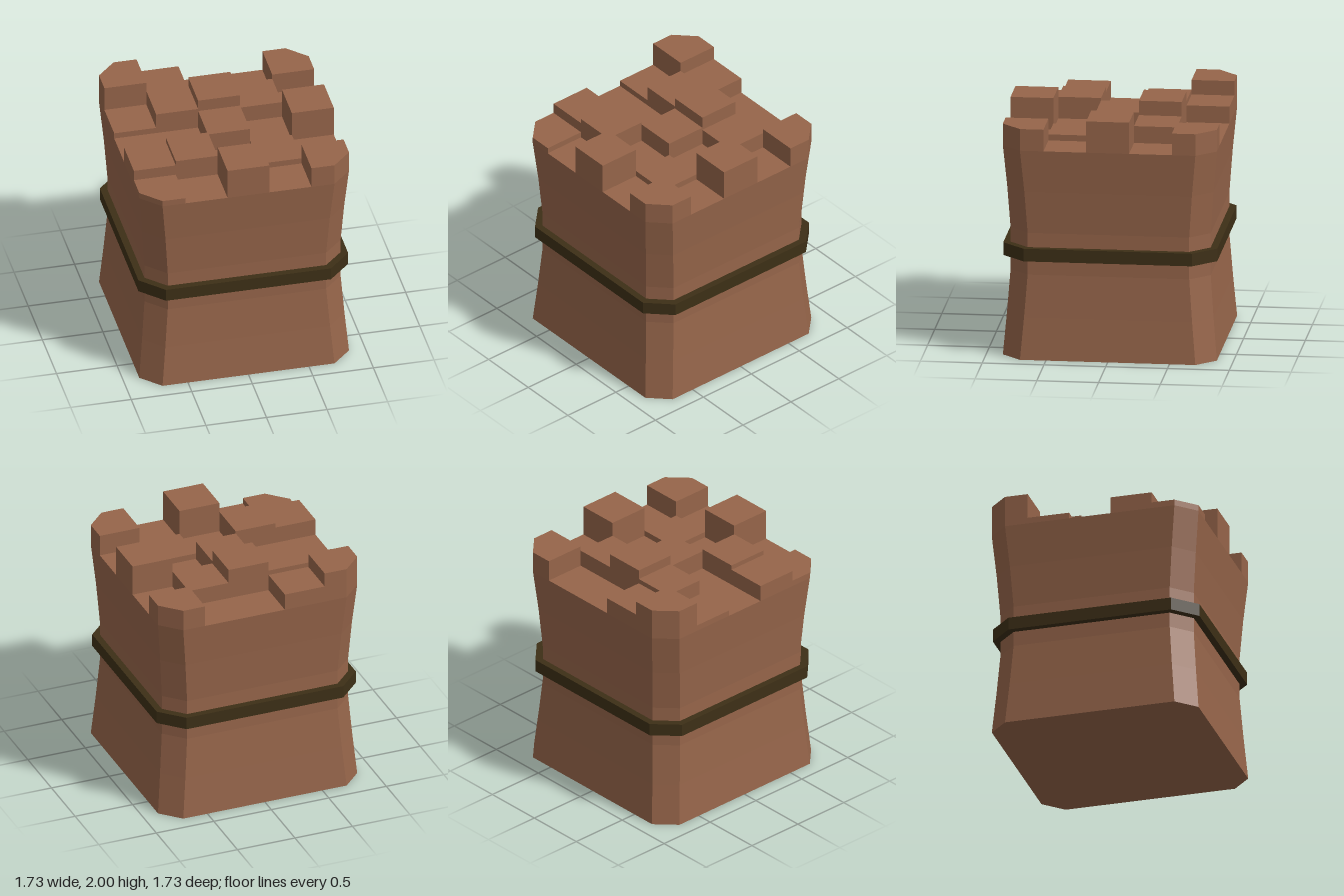
import * as THREE from 'three';

const HALF = 0.866;      // half width of the tower at foot and top
const CUT = 0.156;       // size of the cut corners
const BODY_TOP = 1.74;

const clay = new THREE.MeshStandardMaterial({ color: 0x96654a, flatShading: true });
const darkWood = new THREE.MeshStandardMaterial({ color: 0x3d2f16, flatShading: true });

// Outline of a square with cut corners
function octagon(half, cut) {
  const a = half, b = half - cut;
  return [[b, -a], [a, -b], [a, b], [b, a], [-b, a], [-a, b], [-a, -b], [-b, -a]]
    .map(([x, y]) => new THREE.Vector2(x, y));
}

// Extrude a plan outline upwards from y0 to y1
function rise(shape, y0, y1, steps = 1) {
  const g = new THREE.ExtrudeGeometry(shape, { depth: y1 - y0, steps, bevelEnabled: false });
  g.rotateX(-Math.PI / 2);
  g.translate(0, y0, 0);
  return g;
}

function addMesh(parent, name, geometry, material) {
  const mesh = new THREE.Mesh(geometry, material);
  mesh.name = name;
  parent.add(mesh);
  return mesh;
}

// Waisted tower body: each level of the prism is pulled inwards
function bodyGeometry() {
  const inset = [0, 0.03, 0.056, 0.056, 0.032, 0];
  const levels = inset.length - 1;
  const g = rise(new THREE.Shape(octagon(HALF, CUT)), 0, BODY_TOP, levels);
  const p = g.attributes.position;
  for (let i = 0; i < p.count; i++) {
    const d = inset[Math.round(p.getY(i) / BODY_TOP * levels)];
    p.setX(i, p.getX(i) - Math.sign(p.getX(i)) * d);
    p.setZ(i, p.getZ(i) - Math.sign(p.getZ(i)) * d);
  }
  g.computeVertexNormals();
  return g;
}

// Plan of one grid cell; corner cells lose their outer corner
function cellShape(i, k) {
  const size = 2 * HALF / 5;
  const x0 = -HALF + i * size, x1 = x0 + size;
  const y1 = HALF - k * size, y0 = y1 - size; // plan y is -z
  const points = [];
  for (const [x, y, alongX] of [[x0, y0, false], [x1, y0, true], [x1, y1, false], [x0, y1, true]]) {
    const outer = Math.abs(x) > HALF - 0.01 && Math.abs(y) > HALF - 0.01;
    if (!outer) {
      points.push(new THREE.Vector2(x, y));
      continue;
    }
    const onX = new THREE.Vector2(x - Math.sign(x) * CUT, y);
    const onY = new THREE.Vector2(x, y - Math.sign(y) * CUT);
    points.push(...(alongX ? [onX, onY] : [onY, onX]));
  }
  return new THREE.Shape(points);
}

export function createModel() {
  const tower = new THREE.Group();
  tower.name = 'tower';

  addMesh(tower, 'body', bodyGeometry(), clay);

  // Band around the waist
  const ring = new THREE.Shape(octagon(HALF, 0.185));
  ring.holes.push(new THREE.Path(octagon(0.8, CUT).reverse()));
  addMesh(tower, 'band', rise(ring, 0.82, 0.925), darkWood);

  // Uneven top: block heights, rows from back to front, columns from -x to +x
  const heights = [
    [2.0, 1.88, 1.74, 1.74, 1.92],
    [1.79, 1.92, 2.0, 1.88, 1.74],
    [1.74, 1.74, 1.9, 1.74, 2.0],
    [1.88, 1.92, 1.74, 1.79, 1.74],
    [1.79, 1.74, 2.0, 1.74, 1.92],
  ];
  const blocks = new THREE.Group();
  blocks.name = 'topBlocks';
  tower.add(blocks);
  heights.forEach((row, k) => row.forEach((h, i) => {
    if (h > BODY_TOP) addMesh(blocks, 'topBlock', rise(cellShape(i, k), BODY_TOP, h), clay);
  }));

  return tower;
}
